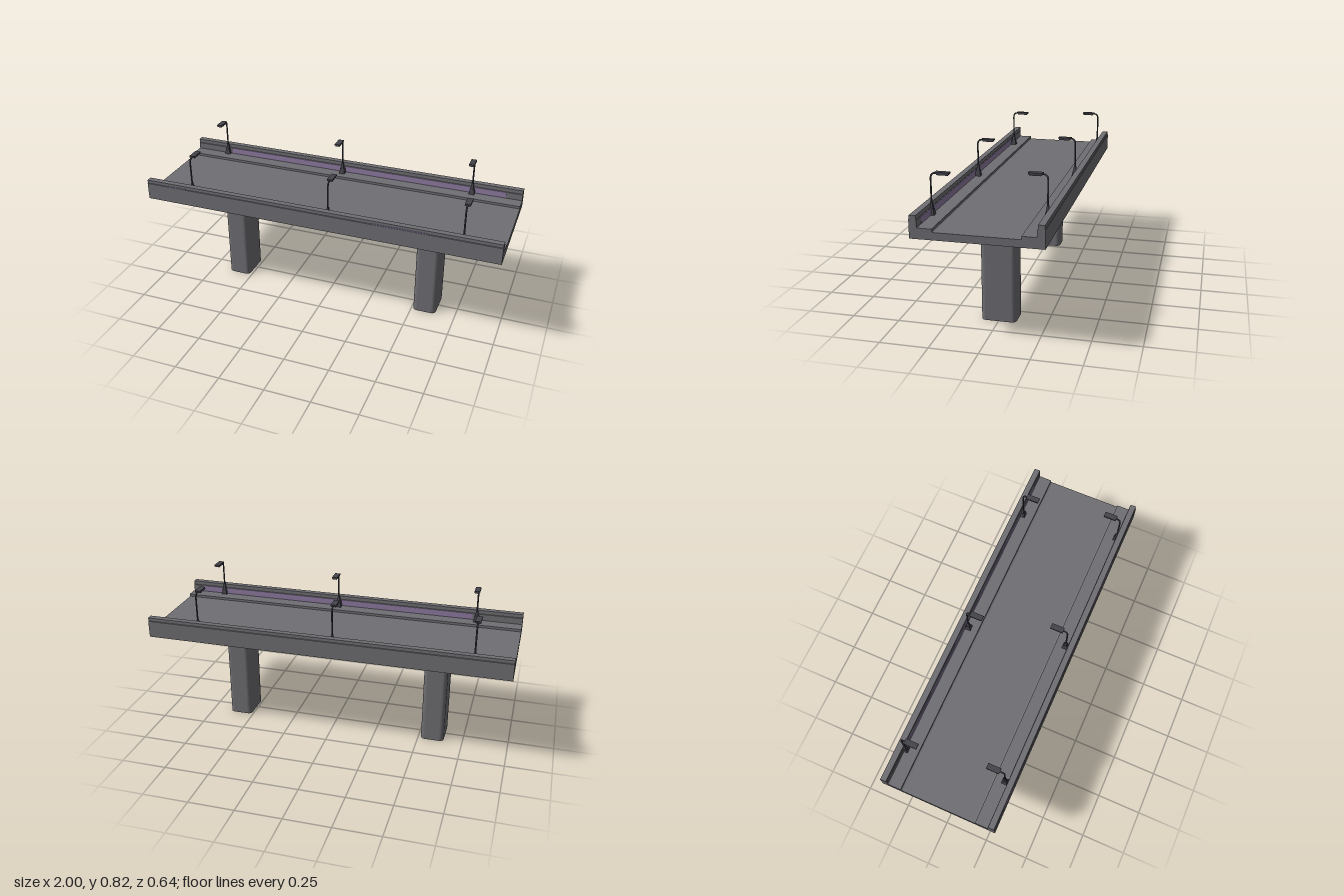
import * as THREE from 'three';

const concrete = new THREE.MeshStandardMaterial({ color: 0x6f6f74 });
concrete.name = 'concrete grey';
const metal = new THREE.MeshStandardMaterial({ color: 0x44444c });
metal.name = 'dark metal';
const violet = new THREE.MeshStandardMaterial({ color: 0x8f7ba2 });
violet.name = 'violet';

function add(parent, name, geometry, material, x = 0, y = 0, z = 0) {
  const mesh = new THREE.Mesh(geometry, material);
  mesh.name = name;
  mesh.position.set(x, y, z);
  parent.add(mesh);
  return mesh;
}

// Deck, kerbs and parapets share one cross-section, swept along x
function deckGeometry() {
  const half = [
    [0.32, 0.55], [0.32, 0.643], [0.317, 0.645], [0.317, 0.663], [0.285, 0.663],
    [0.285, 0.642], [0.282, 0.64], [0.282, 0.604], [0.21, 0.604], [0.21, 0.59], [0.2, 0.588],
  ];
  const other = half.map(([z, y]) => [-z, y]).reverse();
  const shape = new THREE.Shape([...half, ...other].map(([z, y]) => new THREE.Vector2(z, y)));
  return new THREE.ExtrudeGeometry(shape, { depth: 2, bevelEnabled: false })
    .translate(0, 0, -1).rotateY(Math.PI / 2);
}

// Upright column with rounded corners
function pierGeometry(w, d, r, h) {
  const s = new THREE.Shape();
  const a = w / 2, b = d / 2;
  s.absarc(a - r, b - r, r, 0, Math.PI / 2);
  s.absarc(-a + r, b - r, r, Math.PI / 2, Math.PI);
  s.absarc(-a + r, -b + r, r, Math.PI, Math.PI * 1.5);
  s.absarc(a - r, -b + r, r, Math.PI * 1.5, Math.PI * 2);
  return new THREE.ExtrudeGeometry(s, { depth: h, bevelEnabled: false, curveSegments: 6 })
    .rotateX(-Math.PI / 2);
}

// Square tapered block
function taper(top, bottom, h) {
  return new THREE.CylinderGeometry(top * Math.SQRT2, bottom * Math.SQRT2, h, 4, 1)
    .rotateY(Math.PI / 4).toNonIndexed();
}

// Lamp whose arm reaches towards -z, standing on the kerb
function streetLamp(height) {
  const lamp = new THREE.Group();
  lamp.name = 'streetLamp';
  const base = taper(0.011, 0.016, 0.032);
  base.computeVertexNormals();
  const neck = taper(0.005, 0.009, 0.03);
  neck.computeVertexNormals();
  add(lamp, 'lampBase', base, metal, 0, 0.016, 0);
  add(lamp, 'lampNeck', neck, metal, 0, 0.047, 0);
  const path = new THREE.CurvePath();
  const v = (y, z) => new THREE.Vector3(0, y, z);
  path.add(new THREE.LineCurve3(v(0.03, 0), v(height - 0.03, 0)));
  path.add(new THREE.QuadraticBezierCurve3(v(height - 0.03, 0), v(height, 0), v(height, -0.026)));
  path.add(new THREE.LineCurve3(v(height, -0.026), v(height, -0.05)));
  add(lamp, 'lampPole', new THREE.TubeGeometry(path, 40, 0.0045, 8), metal);
  // Head: a flat housing over a slightly smaller lens plate
  add(lamp, 'lampHead', new THREE.BoxGeometry(0.03, 0.009, 0.07), metal, 0, height + 0.002, -0.059);
  add(lamp, 'lampLens', new THREE.BoxGeometry(0.024, 0.006, 0.058), metal, 0, height - 0.005, -0.061);
  return lamp;
}

export function createModel() {
  const bridge = new THREE.Group();
  bridge.name = 'bridge';

  add(bridge, 'deck', deckGeometry(), concrete);

  // Two piers, each with a slightly narrower head
  for (const x of [-0.58, 0.575]) {
    add(bridge, 'pier', pierGeometry(0.13, 0.184, 0.025, 0.535), concrete, x);
    add(bridge, 'pierHead', pierGeometry(0.122, 0.176, 0.022, 0.016), concrete, x, 0.535);
  }

  // Violet bands on the inner parapet faces
  add(bridge, 'backBand', new THREE.BoxGeometry(1.68, 0.034, 0.002), violet, 0.07, 0.622, -0.2815);
  add(bridge, 'frontBand', new THREE.BoxGeometry(1.66, 0.034, 0.002), violet, 0.11, 0.622, 0.2815);

  // Short violet lines along the outer front ledge
  for (const [x, w] of [[-0.815, 0.11], [0.47, 0.3]]) {
    add(bridge, 'ledgeLine', new THREE.BoxGeometry(w, 0.004, 0.003), violet, x, 0.646, 0.318);
  }

  // Staggered lamps: x, z of the base, height above the kerb
  const lamps = [
    [-0.745, 0.265, 0.208], [0.065, 0.267, 0.208], [0.795, 0.281, 0.208],
    [-0.798, -0.278, 0.214], [-0.045, -0.265, 0.214], [0.722, -0.272, 0.214],
  ];
  for (const [x, z, h] of lamps) {
    const lamp = streetLamp(h);
    lamp.position.set(x, 0.604, z);
    if (z < 0) lamp.rotation.y = Math.PI;
    bridge.add(lamp);
  }
  return bridge;
}
